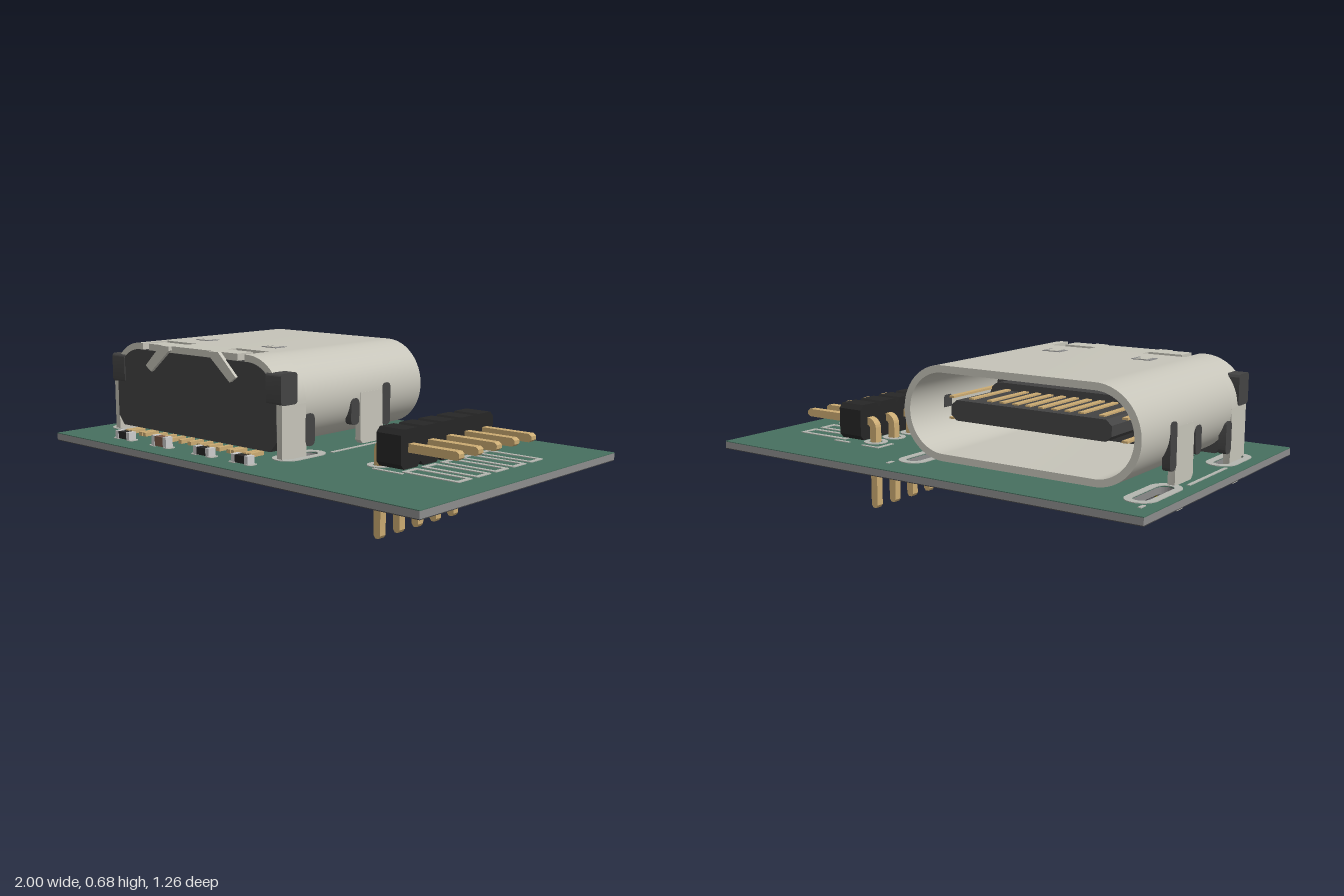
import * as THREE from 'three';
import { toCreasedNormals } from 'three/addons/utils/BufferGeometryUtils.js';

const mat = (color) => new THREE.MeshStandardMaterial({ color });

// Rounded rectangle outline; usable as a shape or a hole
function rounded(cx, cy, w, h, r, Type = THREE.Shape) {
  const p = new Type(), x = w / 2 - r, y = h / 2 - r;
  p.absarc(cx + x, cy + y, r, 0, Math.PI / 2);
  p.absarc(cx - x, cy + y, r, Math.PI / 2, Math.PI);
  p.absarc(cx - x, cy - y, r, Math.PI, Math.PI * 1.5);
  p.absarc(cx + x, cy - y, r, Math.PI * 1.5, Math.PI * 2);
  p.closePath();
  return p;
}
const ring = (cx, cy, w, h, r, t) => {
  const s = rounded(cx, cy, w, h, r);
  s.holes.push(rounded(cx, cy, w - 2 * t, h - 2 * t, Math.max(r - t, 0.002), THREE.Path));
  return s;
};
const poly = (pts) => new THREE.Shape(pts.map((p) => new THREE.Vector2(...p)));

export function createModel() {
  const root = new THREE.Group();
  const M = {
    green: mat(0x47705f), core: mat(0x8c8c8c), under: mat(0x454547), metal: mat(0xc6c4b9),
    plastic: mat(0x434343), black: mat(0x262626), gold: mat(0xcbab72), silk: mat(0xb4b6b0),
    trace: mat(0x6a6010), brown: mat(0x7a5848), steel: mat(0xcccccc),
  };
  const add = (parent, name, geo, m, x = 0, y = 0, z = 0) => {
    const mesh = new THREE.Mesh(geo, m);
    mesh.name = name;
    mesh.position.set(x, y, z);
    parent.add(mesh);
    return mesh;
  };
  const group = (name, x = 0) => {
    const g = new THREE.Group();
    g.name = name;
    g.position.x = x;
    root.add(g);
    return g;
  };
  const extrude = (shape, depth) => toCreasedNormals(
    new THREE.ExtrudeGeometry(shape, { depth, bevelEnabled: false, curveSegments: 10 }), 0.6);
  // Box given by its extents
  const box = (p, name, m, x0, x1, y0, y1, z0, z1) => add(p, name,
    new THREE.BoxGeometry(x1 - x0, y1 - y0, z1 - z0), m, (x0 + x1) / 2, (y0 + y1) / 2, (z0 + z1) / 2);
  // Front outline (x, y) pushed from z0 to z1
  const front = (p, name, m, shape, z0, z1) => add(p, name, extrude(shape, z1 - z0), m, 0, 0, z0);
  // Side outline (z, y) pushed from x0 to x1
  const side = (p, name, m, shape, x0, x1) => add(p, name, extrude(shape, x1 - x0).rotateY(-Math.PI / 2), m, x1);
  // Plan outline (x, z) pushed from y0 to y1
  const plan = (p, name, m, shape, y0, y1) => add(p, name, extrude(shape, y1 - y0).rotateX(Math.PI / 2), m, 0, y1);

  const cx = -0.382, top = 0.285, bottom = 0.252;
  const pinZ = [0, 1, 2, 3, 4].map((i) => -0.277 + i * 0.117);
  const slots = [-0.505, 0.505].flatMap((dx) => [[cx + dx, -0.35, 0.3], [cx + dx, 0.275, 0.25]]);

  // Circuit board: three layers with mounting slots
  const board = group('circuitBoard');
  [['boardCore', M.core, bottom + 0.003, top - 0.003], ['boardTop', M.green, top - 0.003, top],
    ['boardUnderside', M.under, bottom, bottom + 0.003]].forEach(([name, m, y0, y1]) => {
    const s = poly([[-1, -0.63], [1, -0.63], [1, 0.63], [-1, 0.63]]);
    slots.forEach(([x, z, l]) => s.holes.push(rounded(x, z, 0.068, l - 0.062, 0.034, THREE.Path)));
    plan(board, name, m, s, y0, y1);
  });
  slots.forEach(([x, z, l]) => {
    plan(board, 'slotPad', M.silk, ring(x, z, 0.125, l, 0.0625, 0.03), top, top + 0.003);
    plan(board, 'slotPadUnder', M.core, ring(x, z, 0.1, l - 0.03, 0.05, 0.016), bottom - 0.002, bottom);
  });

  // Printed outlines
  const line = (x0, x1, z0, z1) => box(board, 'outline', M.silk, x0, x1, top, top + 0.003, z0, z1);
  [-0.937, 0.172].forEach((x) => {
    line(x - 0.007, x + 0.007, -0.18, 0.14);
    line(x - 0.007, x + 0.007, -0.545, -0.51);
  });
  line(0.375, 0.47, -0.368, -0.355);
  line(0.375, 0.39, -0.368, -0.27);
  line(0.55, 0.63, -0.36, -0.345);
  line(0.49, 0.63, 0.25, 0.265);
  pinZ.forEach((z) => {
    plan(board, 'pinOutline', M.silk, ring(0.735, z, 0.26, 0.088, 0.006, 0.018), top, top + 0.003);
    plan(board, 'pinPad', M.silk, ring(0.467, z, 0.1, 0.1, 0.05, 0.022), top, top + 0.003);
    plan(board, 'pinPadUnder', M.core, ring(0.467, z, 0.09, 0.09, 0.045, 0.02), bottom - 0.002, bottom);
  });

  // Underside traces and vias
  const traces = [
    [[0.45, -0.16], [0.27, -0.2], [0.14, -0.23], [-0.2, -0.02], [-0.49, 0.25]],
    [[0.45, -0.04], [0.27, -0.06], [-0.03, 0.12], [-0.22, 0.29], [-0.41, 0.32], [-0.49, 0.256]],
    [[0.45, 0.07], [0.24, -0.03], [-0.06, 0.15], [-0.24, 0.31], [-0.43, 0.34]],
    [[0.21, 0.19], [0.02, 0.28], [-0.2, 0.42]],
    [[-0.04, -0.27], [-0.89, -0.27]],
  ];
  traces.forEach((pts) => pts.slice(1).forEach(([x1, z1], i) => {
    const [x0, z0] = pts[i], len = Math.hypot(x1 - x0, z1 - z0);
    const t = add(board, 'trace', new THREE.BoxGeometry(len + 0.012, 0.003, 0.016), M.trace,
      (x0 + x1) / 2, bottom - 0.0005, (z0 + z1) / 2);
    t.rotation.y = -Math.atan2(z1 - z0, x1 - x0);
  }));
  for (let i = 0; i < 9; i++) for (let j = 0; j < 5; j++) {
    const x = -0.93 + i * 0.23 + 0.03 * Math.sin(i * 7 + j * 3), z = -0.56 + j * 0.28 + 0.03 * Math.cos(i * 5 + j);
    if ((i + j) % 2 === 0) add(board, 'via', new THREE.CylinderGeometry(0.014, 0.014, 0.004, 8), M.trace, x, bottom - 0.001, z);
  }

  // Socket shell: hollow sleeve opening toward the back
  const socket = group('socket', cx);
  const mid = 0.495, R = 0.185, T = 0.028, W = 0.52;
  front(socket, 'shellSleeve', M.metal, ring(0, mid, 2 * W, 2 * R, R, T), -0.475, 0.25);
  front(socket, 'socketBackWall', M.plastic, rounded(0, mid, 2 * (W - T), 2 * (R - T), R - T), 0.1, 0.25);
  // Front housing block
  const hw = W - T, hr = R - T;
  const housing = new THREE.Shape();
  housing.moveTo(-hw + 0.035, 0.31);
  housing.lineTo(hw - 0.035, 0.31);
  housing.lineTo(hw, 0.35);
  housing.absarc(hw - hr, mid, hr, 0, Math.PI / 2);
  housing.absarc(-hw + hr, mid, hr, Math.PI / 2, Math.PI);
  housing.lineTo(-hw, 0.35);
  front(socket, 'frontHousing', M.plastic, housing, 0.25, 0.388);

  // Contact tongue
  const tongue = poly([[-0.355, 0.475], [-0.33, 0.455], [0.33, 0.455], [0.355, 0.475],
    [0.355, 0.515], [0.33, 0.535], [-0.33, 0.535], [-0.355, 0.515]]);
  front(socket, 'tongue', M.plastic, tongue, -0.39, 0.1);
  front(socket, 'tongueBase', M.plastic, rounded(0, mid, 0.76, 0.14, 0.05), -0.1, 0.1);

  // Contacts and solder tails
  const tails = [0.029, 0.087, 0.145, 0.204, 0.265, 0.29, 0.358, 0.385].flatMap((x) => [-x, x]);
  tails.forEach((x) => {
    box(socket, 'solderTail', M.gold, x - 0.01, x + 0.01, 0.286, 0.302, 0.36, 0.432);
    if (Math.abs(x) !== 0.265 && Math.abs(x) !== 0.358) [0.453, 0.537].forEach((y) =>
      box(socket, 'contact', M.gold, x - 0.012, x + 0.012, y - 0.004, y + 0.004, -0.35, -0.05));
  });

  // Shell parts that repeat on both sides
  box(socket, 'topBridge', M.metal, -0.125, 0.125, mid + R - T, mid + R, 0.25, 0.385);
  const frontLeg = poly([[0.385, mid], [0.385, 0.26], [0.355, 0.2], [0.335, 0.187], [0.29, 0.187],
    [0.27, 0.205], [0.25, 0.26], [0.25, mid]]);
  const rearLeg = poly([[-0.075, 0.5], [-0.075, 0.3], [-0.12, 0.255], [-0.135, 0.2], [-0.15, 0.187],
    [-0.195, 0.187], [-0.212, 0.205], [-0.22, 0.26], [-0.215, 0.5]]);
  for (const s of [-1, 1]) {
    const corner = new THREE.Shape();
    const a0 = s > 0 ? 0 : Math.PI, c = s * (W - R);
    corner.absarc(c, mid, R, a0, Math.PI / 2, s < 0);
    corner.lineTo(s * 0.315, mid + R);
    corner.lineTo(s * 0.315, mid + R - T);
    corner.absarc(c, mid, R - T, Math.PI / 2, a0, s > 0);
    front(socket, 'shellCorner', M.metal, corner, 0.25, 0.385);
    // Spring tab bent over the front
    box(socket, 'clipTab', M.metal, Math.min(s * 0.125, s * 0.275), Math.max(s * 0.125, s * 0.275),
      mid + R - T, mid + R, 0.3, 0.385);
    front(socket, 'clipArm', M.metal, poly([[s * 0.125, 0.68], [s * 0.125, 0.662], [s * 0.245, 0.565],
      [s * 0.28, 0.588], [s * 0.18, 0.68]]), 0.385, 0.402);
    // Legs, side reliefs and housing ears
    const x0 = s > 0 ? W - T : -W, x1 = x0 + T;
    side(socket, 'frontLeg', M.metal, frontLeg, x0, x1);
    side(socket, 'rearLeg', M.metal, rearLeg, x0, x1 + 0.001);
    [[0.228, 0.385, 0.075], [-0.04, 0.425, 0.065], [-0.24, 0.435, 0.1]].forEach(([z, y, h]) =>
      side(socket, 'sideRelief', M.plastic, rounded(z, y, 0.05, 2 * h - 0.02, 0.02),
        s > 0 ? W - 0.03 : -W - 0.002, s > 0 ? W + 0.002 : -W + 0.03));
    side(socket, 'housingEar', M.plastic, rounded(0.347, 0.56, 0.09, 0.125, 0.015),
      s > 0 ? 0.44 : -W - 0.004, s > 0 ? W + 0.004 : -0.44);
    // Pressed detent on top: dark slit with a raised ramp
    const d = s * 0.207;
    box(socket, 'detentRecess', M.core, d - 0.042, d + 0.042, 0.67, 0.682, 0.08, 0.145);
    box(socket, 'detentSpring', M.metal, d - 0.022, d + 0.022, 0.655, 0.684, 0.085, 0.14);
    // Locating peg
    add(socket, 'locatingPeg', new THREE.CylinderGeometry(0.03, 0.022, 0.06, 16), M.black, s * 0.335, 0.258, 0.25);
  }

  // Pin header body
  const header = group('pinHeader');
  pinZ.forEach((z) => {
    const a = 0.0587, b = 0.04;
    side(header, 'headerBlock', M.black, poly([[z - a, 0.315], [z - b, 0.295], [z + b, 0.295], [z + a, 0.315],
      [z + a, 0.425], [z + b, 0.445], [z - b, 0.445], [z - a, 0.425]]), 0.498, 0.615);
    // Right-angle pin
    const h = 0.0165, y = 0.373, x = 0.468, L = new THREE.Shape();
    L.moveTo(x - h, 0.012);
    L.lineTo(x - h + 0.009, 0);
    L.lineTo(x + h - 0.009, 0);
    L.lineTo(x + h, 0.012);
    L.lineTo(x + h, y - h - 0.012);
    L.absarc(x + h + 0.012, y - h - 0.012, 0.012, Math.PI, Math.PI / 2, true);
    L.lineTo(0.833, y - h);
    L.lineTo(0.845, y - h + 0.009);
    L.lineTo(0.845, y + h - 0.009);
    L.lineTo(0.833, y + h);
    L.absarc(x + h + 0.012, y - h - 0.012, 0.045, Math.PI / 2, Math.PI);
    front(header, 'pin', M.gold, L, z - h, z + h);
  });

  // Small surface-mount chips
  const chips = group('chipParts');
  [[-0.66, M.black], [-0.42, M.brown], [-0.16, M.black], [0.06, M.black]].forEach(([x, m], i) => {
    const y1 = i === 1 ? 0.328 : 0.318;
    box(chips, 'chipBody', m, x - 0.03, x + 0.03, 0.288, y1, 0.503, 0.537);
    for (const s of [-1, 1]) {
      box(chips, 'chipEnd', M.steel, x + s * 0.036 - 0.01, x + s * 0.036 + 0.01, 0.287, y1 + 0.002, 0.502, 0.538);
      plan(chips, 'chipPad', M.silk, rounded(x + s * 0.043, 0.52, 0.04, 0.044, 0.012), top, top + 0.003);
    }
  });
  return root;
}
